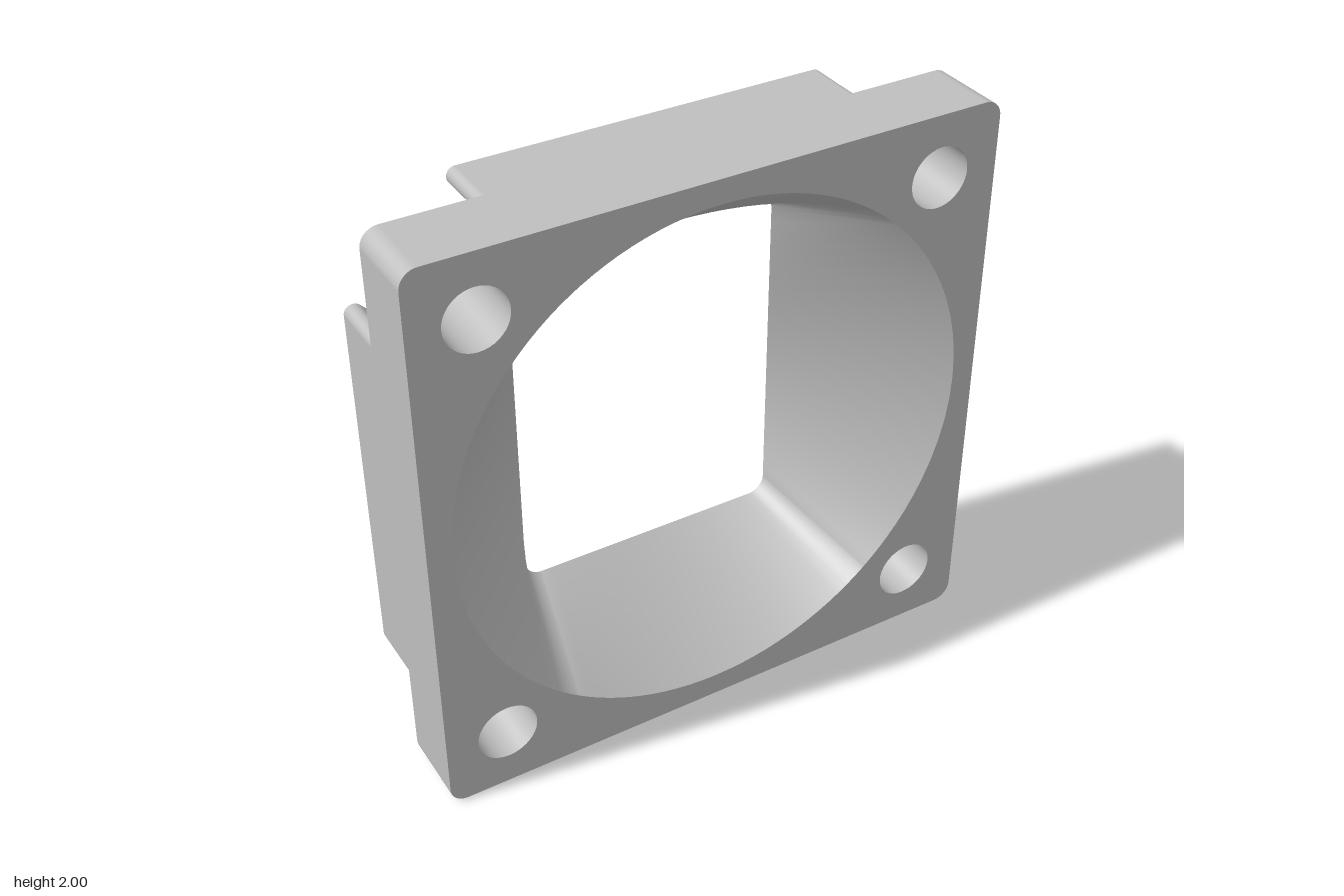
import * as THREE from 'three';

const Z_FRONT = 0.23, Z_LEDGE = -0.03, Z_BACK = -0.23;
const C = 0.785;                    // bolt centre offset on both axes
const HOLE_R = 0.105, POCKET_R = 0.22, LIP_R = 0.03, CORNER_R = 0.06;

// points along an arc, from angle a to angle b
function arc(cx, cy, r, a, b, n) {
  return Array.from({ length: n + 1 }, (_, i) => {
    const t = a + (b - a) * i / n;
    return new THREE.Vector2(cx + r * Math.cos(t), cy + r * Math.sin(t));
  });
}

const quarterTurn = (pts, k) =>
  pts.map(p => p.clone().rotateAround(new THREE.Vector2(), k * Math.PI / 2));
const allCorners = pts => [0, 1, 2, 3].flatMap(k => quarterTurn(pts, k));
const reversed = pts => [...pts].reverse();

// smooth band between two matching closed loops; faces outward for counter-clockwise loops
function band(loopA, zA, loopB, zB) {
  const n = loopA.length, pos = [], index = [];
  loopA.forEach(p => pos.push(p.x, p.y, zA));
  loopB.forEach(p => pos.push(p.x, p.y, zB));
  for (let i = 0; i < n; i++) {
    const j = (i + 1) % n;
    index.push(i, j, n + j, i, n + j, n + i);
  }
  const g = new THREE.BufferGeometry();
  g.setAttribute('position', new THREE.Float32BufferAttribute(pos, 3));
  g.setIndex(index);
  g.computeVertexNormals();
  return g;
}

// flat face with holes, looking to +z or to -z
function face(outline, holes, z, towardBack) {
  const shape = new THREE.Shape(outline);
  shape.holes = holes.map(h => new THREE.Path(h));
  const g = new THREE.ShapeGeometry(shape);
  if (towardBack) g.setIndex(Array.from(g.index.array).reverse());
  g.computeVertexNormals();
  return g.translate(0, 0, z);
}

export function createModel() {
  const model = new THREE.Group();
  model.name = 'ductFlange';
  const grey = new THREE.MeshStandardMaterial({ color: 0xbfbfbf });
  grey.name = 'grey';
  const add = (name, geometry) => {
    const mesh = new THREE.Mesh(geometry, grey);
    mesh.name = name;
    mesh.position.y = 1;
    model.add(mesh);
  };

  // square outline with rounded corners
  const corner = arc(1 - CORNER_R, 1 - CORNER_R, CORNER_R, 0, Math.PI / 2, 10);
  const outline = allCorners(corner);

  // round corner pocket, opening to both edges over small rounded lips
  const a = 1 - C - LIP_R;
  const b = Math.sqrt((POCKET_R + LIP_R) ** 2 - a * a);
  const t = Math.atan2(b, a);
  const notch = [
    ...arc(C + a, C - b, LIP_R, 0, Math.PI - t, 12),
    ...arc(C, C, POCKET_R, -t, t - 1.5 * Math.PI, 40).slice(1),
    ...arc(C - b, C + a, LIP_R, t - Math.PI / 2, Math.PI / 2, 12).slice(1),
  ];
  const backOutline = allCorners(notch);

  // rounded rectangular mouth at the back, with its flats subdivided
  const HX = 0.477, HY = 0.605, R = 0.06;
  const corners = [[1, 1], [-1, 1], [-1, -1], [1, -1]].map(([sx, sy], k) =>
    arc(sx * (HX - R), sy * (HY - R), R, k * Math.PI / 2, (k + 1) * Math.PI / 2, 10));
  const mouth = corners.flatMap((c, k) => {
    const end = c[c.length - 1], next = corners[(k + 1) % 4][0];
    const flat = Array.from({ length: 23 }, (_, i) => end.clone().lerp(next, (i + 1) / 24));
    return [...c, ...flat];
  });
  // round mouth at the front, matched to the back one by direction
  const ring = mouth.map(p => p.clone().setLength(0.918));

  const bolt = arc(C, C, HOLE_R, 0, Math.PI * 2, 40).slice(0, -1);
  const bolts = [0, 1, 2, 3].map(k => quarterTurn(bolt, k));

  add('frontFace', face(outline, [ring, ...bolts], Z_FRONT, false));
  add('backFace', face(backOutline, [mouth], Z_BACK, true));
  add('flangeRim', band(outline, Z_LEDGE, outline, Z_FRONT));
  add('backBlockSides', band(backOutline, Z_BACK, backOutline, Z_LEDGE));
  add('tunnel', band(reversed(mouth), Z_BACK, reversed(ring), Z_FRONT));

  // ledges and bolt holes in the four corners
  const ledge = [...corner, ...reversed(notch)];
  bolts.forEach((hole, k) => {
    add('cornerLedge', face(quarterTurn(ledge, k), [hole], Z_LEDGE, true));
    add('boltHole', band(reversed(hole), Z_LEDGE, reversed(hole), Z_FRONT));
  });
  return model;
}
